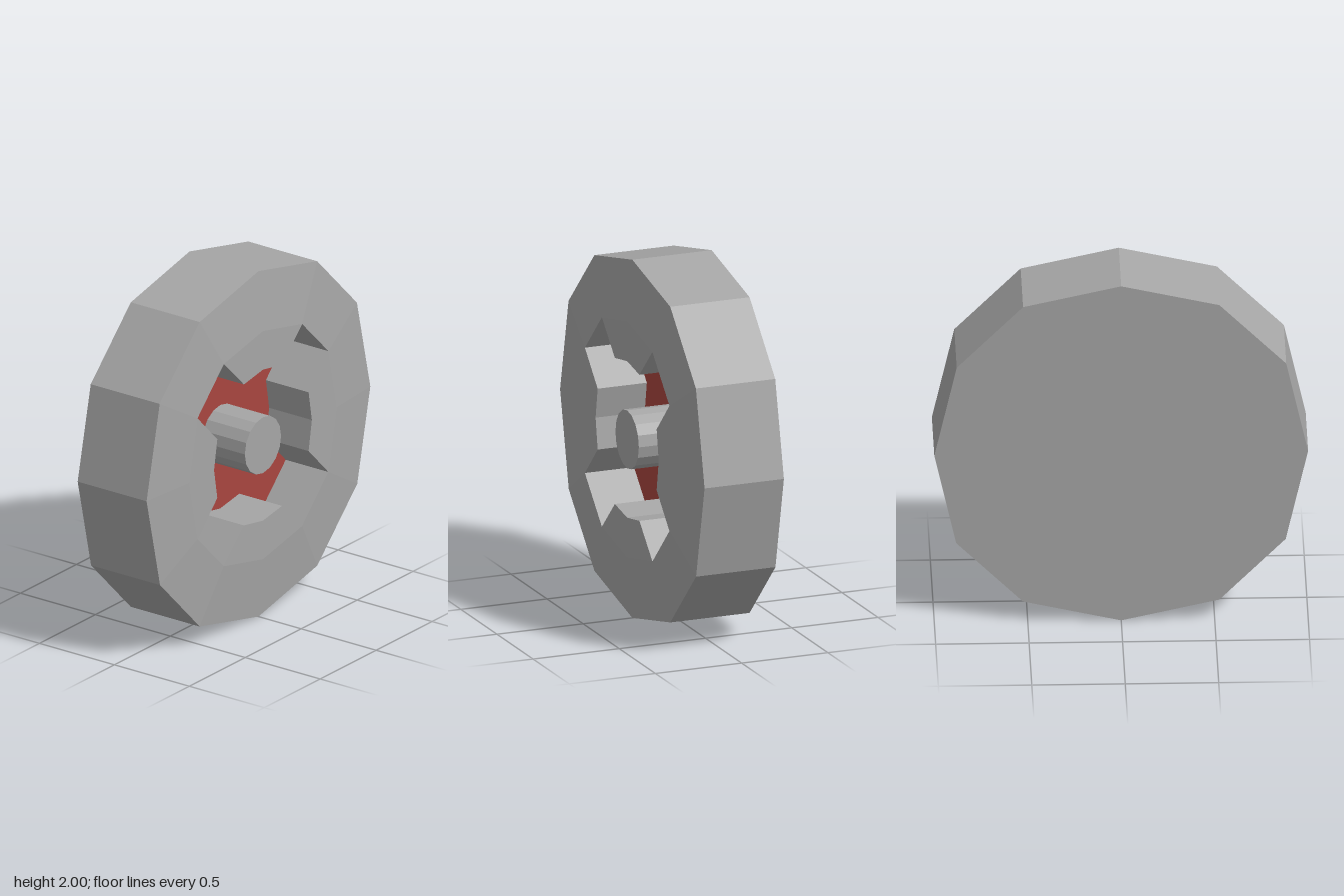
import * as THREE from 'three';

const BACK = -0.245, FLOOR = -0.04, RIM = 0.215, FRONT = 0.245;

export function createModel() {
  const model = new THREE.Group();
  const grey = new THREE.MeshStandardMaterial({ name: 'grey', color: 0xa6a6a6, flatShading: true });
  const red = new THREE.MeshStandardMaterial({ name: 'red', color: 0xa8453f, flatShading: true });

  const add = (name, geometry, material) => {
    const mesh = new THREE.Mesh(geometry, material);
    mesh.name = name;
    mesh.position.y = 1;
    model.add(mesh);
    return mesh;
  };

  // Repeat three points of one quadrant counter-clockwise round the centre
  const quarterTurns = (points) => {
    const out = [];
    for (let q = 0; q < 4; q++) {
      for (const [x, y] of points) {
        out.push(new THREE.Vector2(x, y).rotateAround(new THREE.Vector2(), q * Math.PI / 2));
      }
    }
    return out;
  };
  const outer = quarterTurns([[1, 0], [0.88, 0.525], [0.525, 0.883]]);
  const inner = quarterTurns([[0.66, 0], [0.585, 0.35], [0.35, 0.585]]);
  const notch = quarterTurns([[0.437, 0], [0.408, 0.17], [0.17, 0.408]]);

  // Twelve-sided shell: back, side wall, shallow bevel and the four slot ends
  const pos = [];
  const quad = (a, b, c, d) => [a, b, c, a, c, d].forEach((p) => pos.push(...p));
  const at = (p, z) => [p.x, p.y, z];
  for (let i = 0; i < 12; i++) {
    const j = (i + 1) % 12;
    quad(at(outer[i], BACK), at(outer[j], BACK), at(outer[j], RIM), at(outer[i], RIM));
    quad(at(outer[i], RIM), at(outer[j], RIM), at(inner[j], FRONT), at(inner[i], FRONT));
    pos.push(0, 0, BACK, ...at(outer[j], BACK), ...at(outer[i], BACK));
    if (i % 3 === 1) {
      quad(at(inner[i], FRONT), at(inner[j], FRONT), at(inner[j], FLOOR), at(inner[i], FLOOR));
    }
  }
  const shell = new THREE.BufferGeometry();
  shell.setAttribute('position', new THREE.Float32BufferAttribute(pos, 3));
  shell.computeVertexNormals();
  add('shell', shell, grey);

  // Raised lobes between the arms of the cross-shaped recess
  for (let q = 0; q < 4; q++) {
    const ids = [q * 3 + 11, q * 3, q * 3 + 1].map((i) => i % 12);
    const outline = [...ids.map((i) => inner[i]), ...ids.reverse().map((i) => notch[i])];
    const lobe = new THREE.ExtrudeGeometry(new THREE.Shape(outline), {
      depth: FRONT - FLOOR, bevelEnabled: false,
    });
    add('lobe' + (q + 1), lobe.translate(0, 0, FLOOR), grey);
  }

  // Red floor of the recess
  const cross = [];
  for (let q = 0; q < 4; q++) {
    const [a, b, c] = [q * 3, q * 3 + 1, q * 3 + 2];
    cross.push(notch[a], notch[b], inner[b], inner[c], notch[c]);
  }
  add('recessFloor', new THREE.ShapeGeometry(new THREE.Shape(cross)), red).position.z = FLOOR;

  // Central post, flush with the front
  const post = new THREE.CylinderGeometry(0.162, 0.162, FRONT - FLOOR, 16);
  post.rotateX(Math.PI / 2);
  add('centrePost', post, grey).position.z = (FRONT + FLOOR) / 2;

  return model;
}
